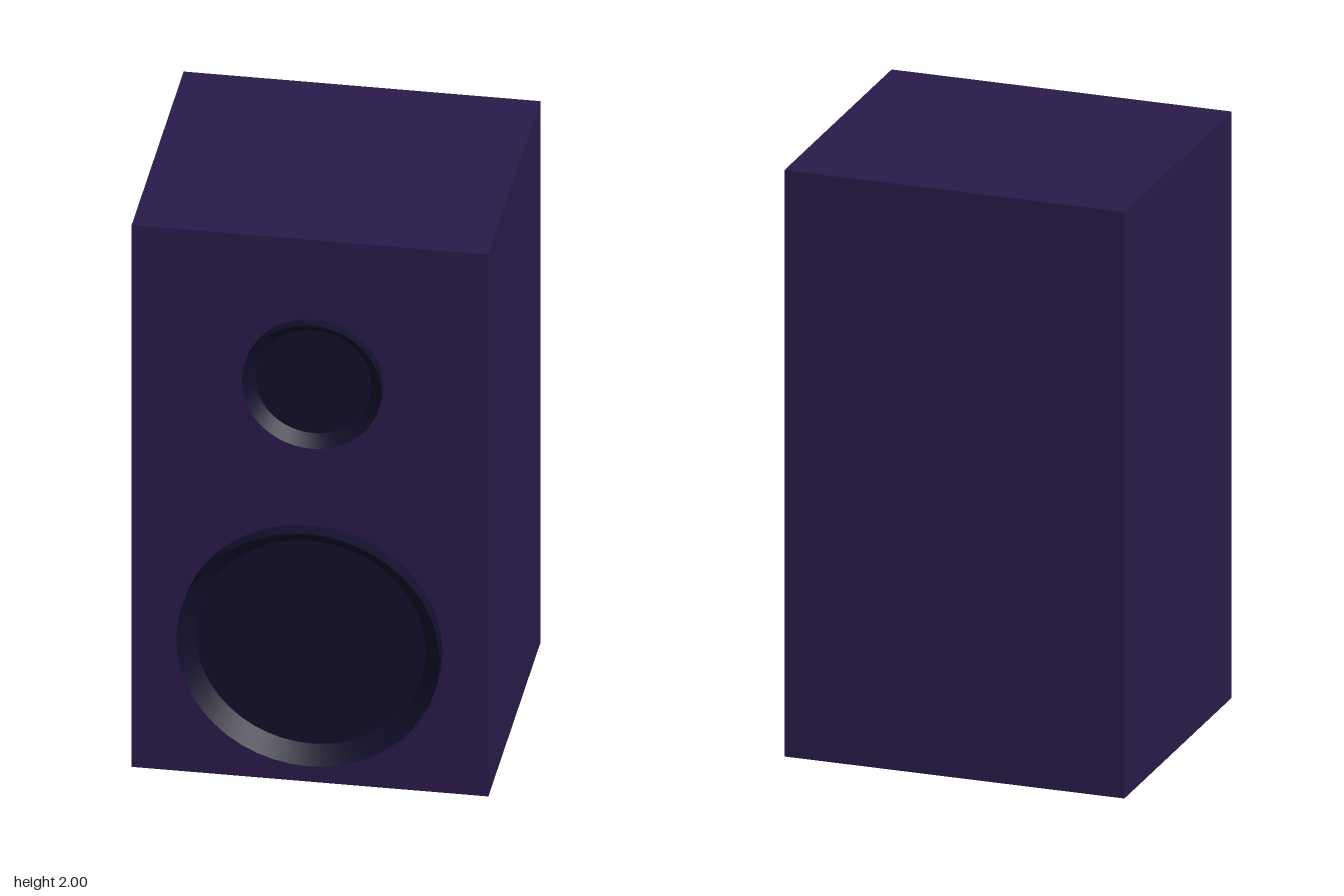
import * as THREE from 'three';
import { toCreasedNormals } from 'three/addons/utils/BufferGeometryUtils.js';

const FRONT = 0.475; // z of the cabinet's front panel
const BACK = -0.533;

export function createModel() {
  const model = new THREE.Group();
  model.name = 'loudspeaker';
  const cabinetMaterial = new THREE.MeshStandardMaterial({ color: 0x2a1b4a });
  const driverMaterial = new THREE.MeshStandardMaterial({ color: 0x12102c });

  // Plain box cabinet
  const cabinet = new THREE.Mesh(new THREE.BoxGeometry(1.16, 2, FRONT - BACK), cabinetMaterial);
  cabinet.name = 'cabinet';
  cabinet.position.set(0, 1, (FRONT + BACK) / 2);
  model.add(cabinet);

  // Raised ring sloping inward to a flat, recessed cone disc
  function addDriver(name, x, y, outer, inner, height) {
    const floor = 0.004;
    const profile = [[outer, -0.02], [outer, height], [inner, floor], [0, floor]]
      .map(([r, h]) => new THREE.Vector2(r, h));
    const geometry = toCreasedNormals(new THREE.LatheGeometry(profile, 48).rotateX(Math.PI / 2), 0.5);
    const driver = new THREE.Mesh(geometry, driverMaterial);
    driver.name = name;
    driver.position.set(x, y, FRONT);
    model.add(driver);
  }
  addDriver('tweeter', 0.012, 1.48, 0.227, 0.19, 0.041);
  addDriver('woofer', 0.003, 0.518, 0.428, 0.374, 0.058);

  return model;
}
